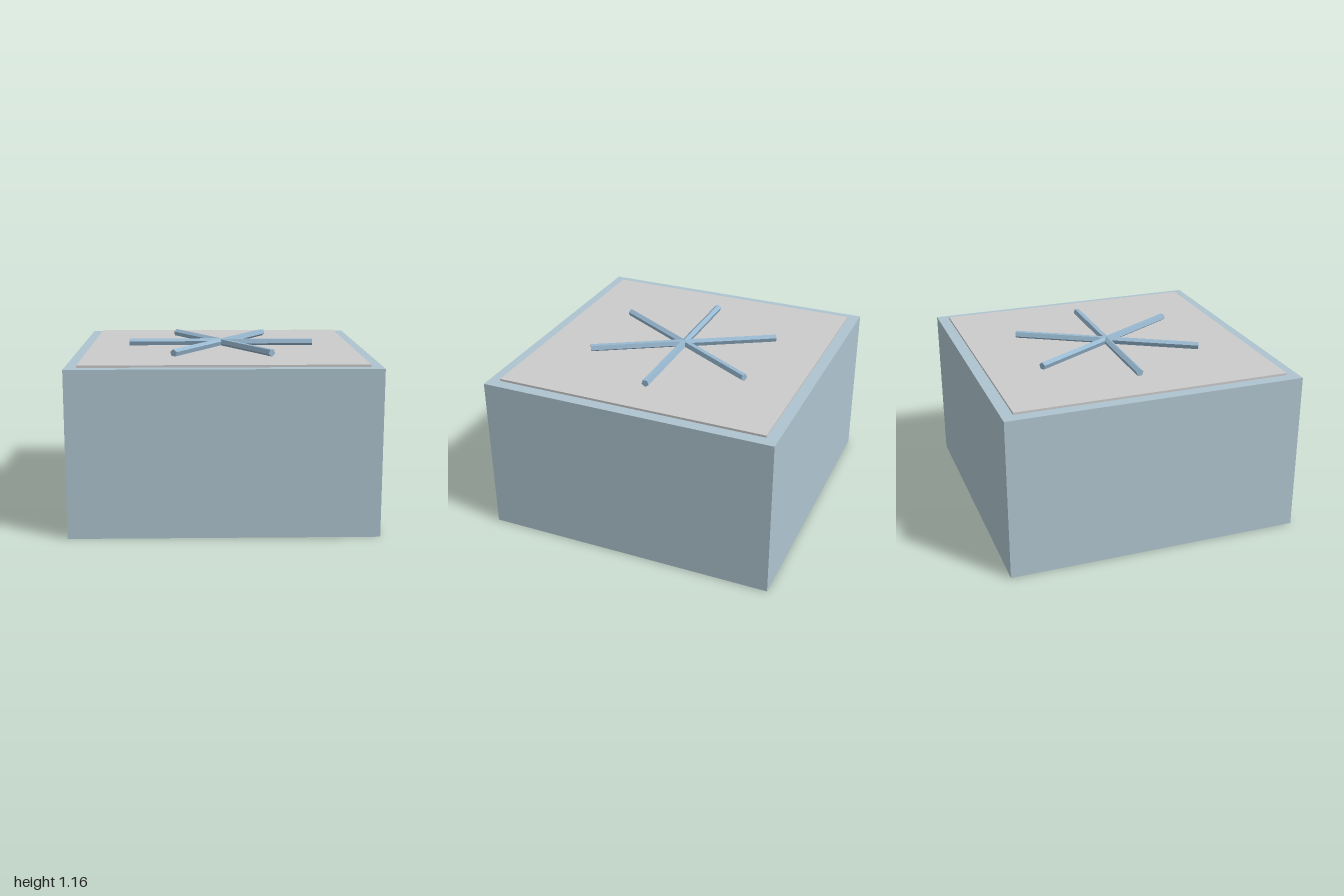
import * as THREE from 'three';

const BODY_H = 1.09, PLATE_H = 0.015, ARM_R = 0.026, ARM_L = 0.65;

const material = (color) => new THREE.MeshStandardMaterial({ color, flatShading: true });

function block(name, width, height, bottom, mat) {
  const mesh = new THREE.Mesh(new THREE.BoxGeometry(width, height, width), mat);
  mesh.position.y = bottom + height / 2;
  mesh.name = name;
  return mesh;
}

// Five-sided bar running from the hub along +x, with a ridge or a flat on top
function armGeometry(ridgeUp) {
  return new THREE.CylinderGeometry(ARM_R, ARM_R, ARM_L, 5)
    .rotateX(ridgeUp ? -Math.PI / 2 : Math.PI / 2)
    .translate(0, 0, ARM_L / 2)
    .rotateY(Math.PI / 2)
    .translate(0, 0, 0);
}

// The ridge-up bar points the other way after its turn, so recentre both on the hub
function placedArm(ridgeUp) {
  const geometry = armGeometry(ridgeUp);
  geometry.computeBoundingBox();
  return geometry.translate(-geometry.boundingBox.min.x, 0, 0);
}

export function createModel() {
  const model = new THREE.Group();
  model.name = 'box';

  // Body and raised lid panel
  model.add(block('body', 2, BODY_H, 0, material(0xaec4cf)));
  model.add(block('lidPanel', 1.845, PLATE_H, BODY_H, material(0xd0d3d2)));

  // Six-armed star lying on the panel
  const star = new THREE.Group();
  star.name = 'star';
  star.position.y = BODY_H + PLATE_H + 0.025;
  const blue = material(0x98b8d0);
  const flatTop = placedArm(false), ridgeTop = placedArm(true);
  for (let i = 0; i < 6; i++) {
    const angle = (i * Math.PI) / 3;
    // Arms on the -x side carry the ridge on top
    const arm = new THREE.Mesh(Math.cos(angle) < 0 ? ridgeTop : flatTop, blue);
    arm.rotation.y = angle;
    arm.name = 'starArm';
    star.add(arm);
  }
  model.add(star);
  return model;
}
